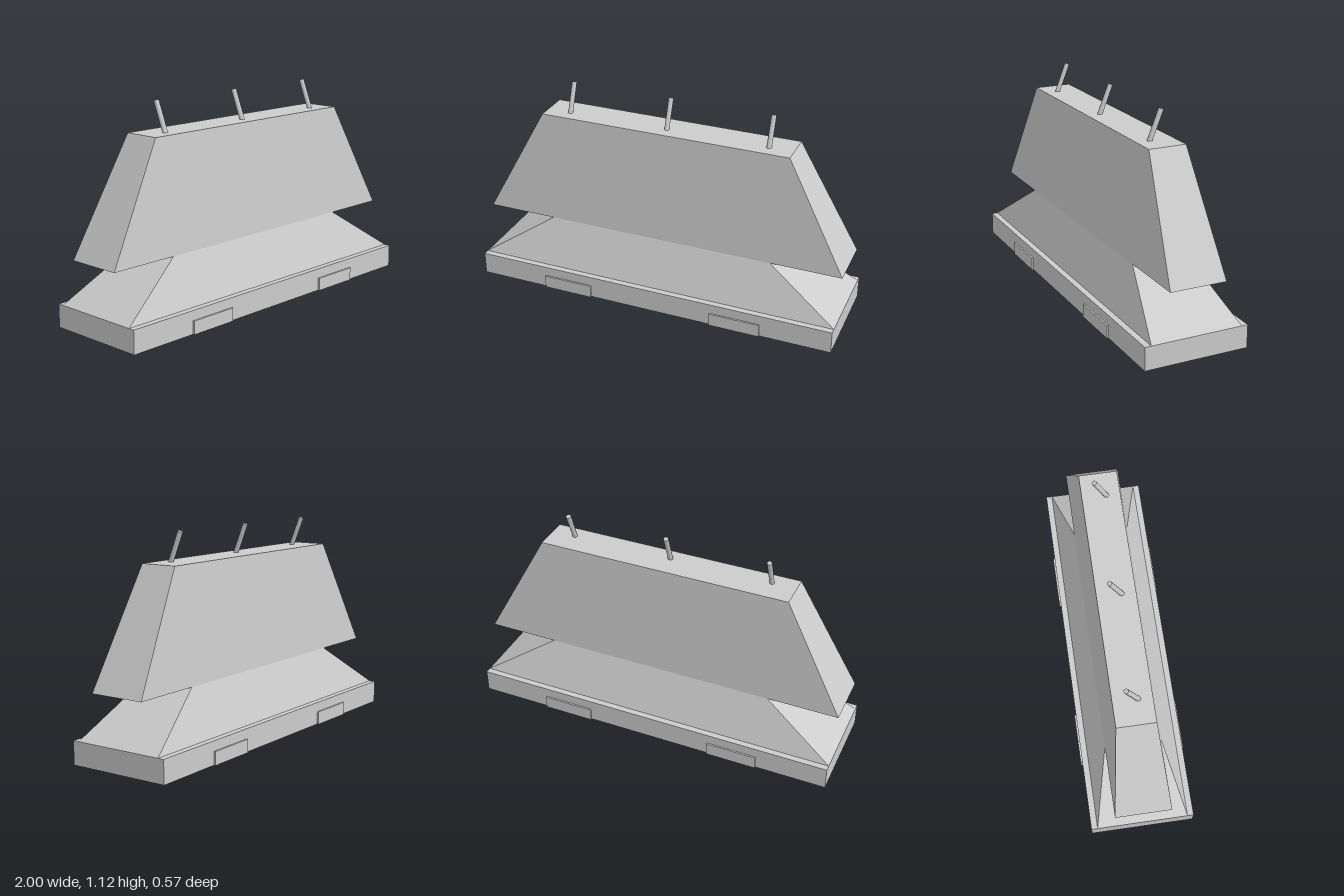
import * as THREE from 'three';

const concrete = new THREE.MeshStandardMaterial({ color: 0xcccccc });
concrete.name = 'concrete grey';

// Box between heights y0 and y1 whose half width and half depth change from bottom to top
function taperedBlock(name, y0, y1, [bx, bz], [tx, tz]) {
  const geo = new THREE.BoxGeometry(2, 1, 2);
  const p = geo.attributes.position;
  for (let i = 0; i < p.count; i++) {
    const top = p.getY(i) > 0;
    p.setXYZ(i, p.getX(i) * (top ? tx : bx), top ? y1 : y0, p.getZ(i) * (top ? tz : bz));
  }
  geo.computeVertexNormals();
  const mesh = new THREE.Mesh(geo, concrete);
  mesh.name = name;
  return mesh;
}

// Cylinder running from one point to another
function rod(name, from, to, radius) {
  const dir = to.clone().sub(from);
  const mesh = new THREE.Mesh(new THREE.CylinderGeometry(radius, radius, dir.length(), 8), concrete);
  mesh.name = name;
  mesh.position.copy(from).add(to).multiplyScalar(0.5);
  mesh.quaternion.setFromUnitVectors(new THREE.Vector3(0, 1, 0), dir.normalize());
  return mesh;
}

export function createModel() {
  const barrier = new THREE.Group();
  barrier.name = 'roadBarrier';

  // Stacked body: slab, sloping foot cut in at the ends, tall wall
  barrier.add(
    taperedBlock('baseSlab', 0, 0.122, [1, 0.278], [1, 0.278]),
    taperedBlock('slopingFoot', 0.122, 0.37, [1, 0.245], [0.62, 0.15]),
    taperedBlock('upperWall', 0.37, 0.96, [1, 0.15], [0.68, 0.1]),
  );

  // Raised plates on the slab, front and back
  for (const z of [-1, 1]) {
    for (const x of [-1, 1]) {
      const plate = new THREE.Mesh(new THREE.BoxGeometry(0.275, 0.07, 0.009), concrete);
      plate.name = `${z > 0 ? 'front' : 'back'}${x > 0 ? 'Left' : 'Right'}Plate`;
      plate.position.set(x * 0.48, 0.035, z * 0.2825);
      barrier.add(plate);
    }
  }

  // Leaning steel rods on top
  [-0.55, 0, 0.55].forEach((x, i) => {
    barrier.add(rod(`topRod${i + 1}`, new THREE.Vector3(x, 0.94, 0.035), new THREE.Vector3(x, 1.113, -0.033), 0.0135));
  });

  return barrier;
}
